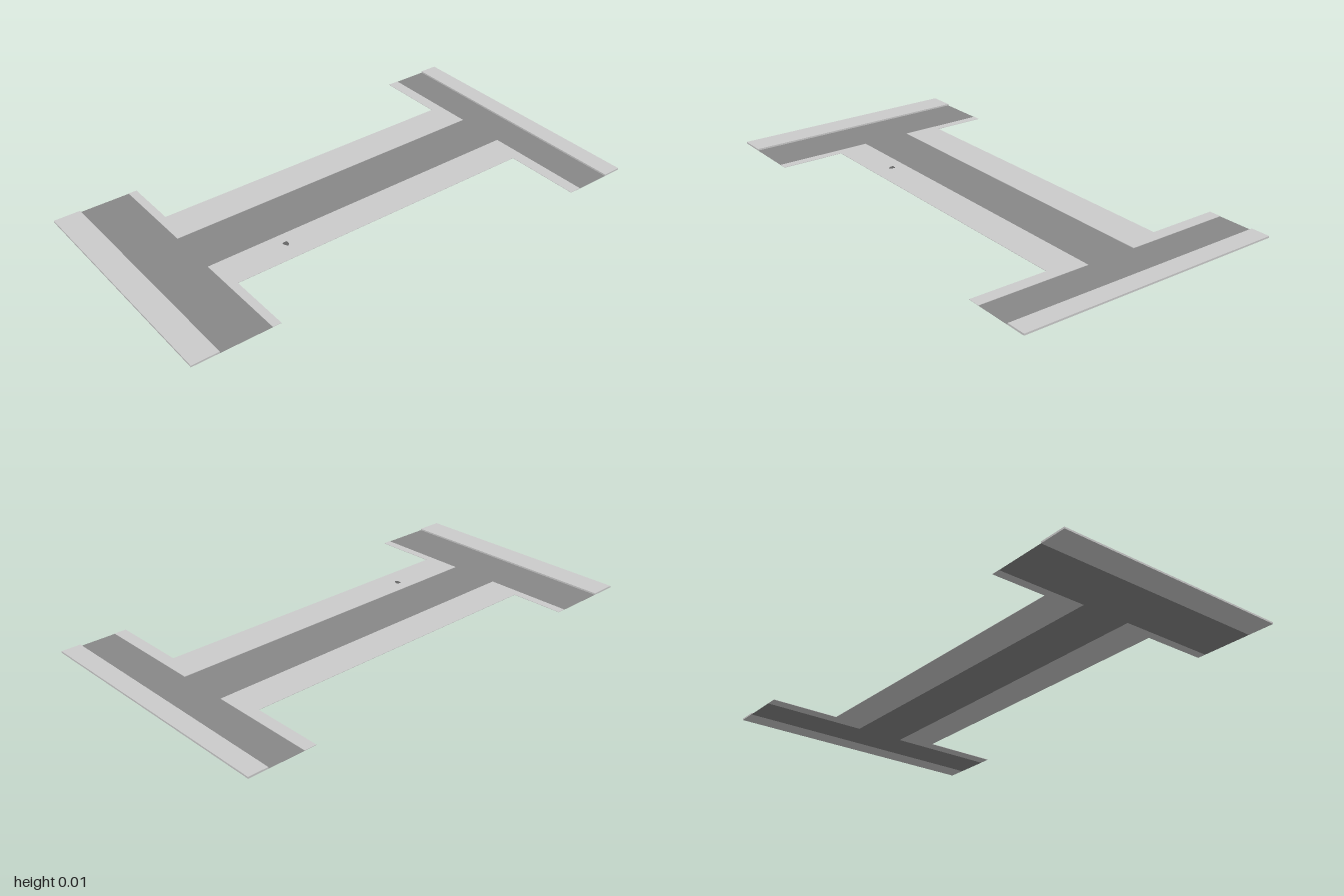
import * as THREE from 'three';

const paving = new THREE.MeshStandardMaterial({ color: 0xcccccc, side: THREE.DoubleSide });
const asphalt = new THREE.MeshStandardMaterial({ color: 0x888888, side: THREE.DoubleSide });
const dark = new THREE.MeshStandardMaterial({ color: 0x666666, side: THREE.DoubleSide });

// Flat outline given as [x, z] points
const outline = (points) => new THREE.Shape(points.map(([x, z]) => new THREE.Vector2(x, -z)));

// Lays an outline on the ground; height 0 gives a single sheet
function slab(name, points, height, material, y = 0) {
  const shape = outline(points);
  const geometry = height > 0
    ? new THREE.ExtrudeGeometry(shape, { depth: height, bevelEnabled: false })
    : new THREE.ShapeGeometry(shape);
  geometry.rotateX(-Math.PI / 2);
  const mesh = new THREE.Mesh(geometry, material);
  mesh.name = name;
  mesh.position.y = y;
  return mesh;
}

const rectangle = (x0, x1, z0, z1) => [[x0, z0], [x0, z1], [x1, z1], [x1, z0]];

export function createModel() {
  const group = new THREE.Group();
  group.name = 'streetJunction';

  // Two cross streets joined by one long street
  group.add(slab('road', [
    [-0.89, -0.5], [-0.89, 0.51], [-0.68, 0.51], [-0.68, 0.095],
    [0.77, 0.095], [0.77, 0.565], [0.92, 0.565], [0.92, -0.57],
    [0.77, -0.57], [0.77, -0.12], [-0.68, -0.12], [-0.68, -0.5],
  ], 0, asphalt));

  // Raised pavements along the outer ends
  group.add(slab('rightOuterPavement', rectangle(-1, -0.89, -0.5, 0.51), 0.007, paving));
  group.add(slab('leftOuterPavement', rectangle(0.92, 1, -0.57, 0.565), 0.007, paving));

  // Low pavements wrapping the inner corners, back and front:
  // [name, inner z, outer z, end z at right, end z at left]
  const inner = [
    ['backInnerPavement', -0.12, -0.27, -0.5, -0.57],
    ['frontInnerPavement', 0.095, 0.24, 0.51, 0.565],
  ];
  for (const [name, near, far, endRight, endLeft] of inner) {
    group.add(slab(name, [
      [-0.68, near], [-0.68, endRight], [-0.645, endRight], [-0.645, far],
      [0.72, far], [0.72, endLeft], [0.77, endLeft], [0.77, near],
    ], 0.0015, paving));
  }

  // Small cover set on the front pavement
  group.add(slab('pavementCover', [
    [-0.385, 0.143], [-0.385, 0.158], [-0.375, 0.168], [-0.366, 0.158], [-0.366, 0.143],
  ], 0.001, dark, 0.0015));

  return group;
}
